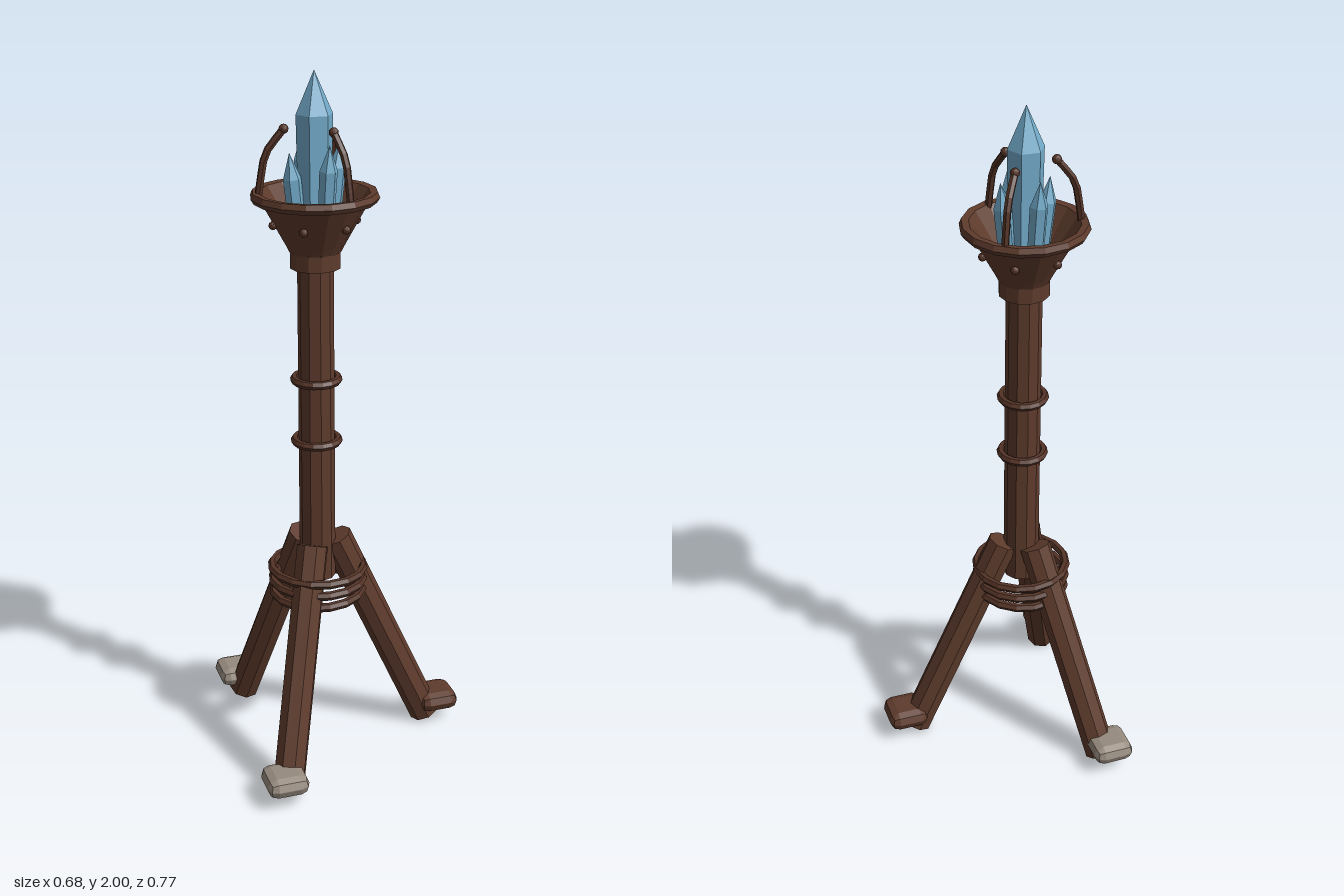
import * as THREE from 'three';
import { RoundedBoxGeometry } from 'three/addons/geometries/RoundedBoxGeometry.js';

const material = (name, color, side = THREE.FrontSide) => {
  const m = new THREE.MeshStandardMaterial({ color, flatShading: true, side });
  m.name = name;
  return m;
};

export function createModel() {
  const wood = material('brown wood', 0x5e3b2c);
  const bowlWood = material('bowl brown', 0x5e3b2c, THREE.DoubleSide);
  const dark = material('dark brown', 0x543326);
  const stone = material('grey stone', 0x968a7e);
  const blue = material('blue crystal', 0x74adcc);

  const model = new THREE.Group();
  const stand = new THREE.Group();
  stand.name = 'crystalStand';
  stand.position.x = -0.094;
  model.add(stand);

  const add = (name, geometry, mat, x = 0, y = 0, z = 0) => {
    const mesh = new THREE.Mesh(geometry, mat);
    mesh.name = name;
    mesh.position.set(x, y, z);
    stand.add(mesh);
    return mesh;
  };
  const polar = (r, y, degrees) => {
    const a = THREE.MathUtils.degToRad(degrees);
    return new THREE.Vector3(r * Math.cos(a), y, r * Math.sin(a));
  };
  // Straight round bar between two points
  const bar = (name, a, b, r, sides, mat) => {
    const d = b.clone().sub(a);
    const mesh = add(name, new THREE.CylinderGeometry(r, r, d.length(), sides), mat);
    mesh.position.copy(a).add(b).multiplyScalar(0.5);
    mesh.quaternion.setFromUnitVectors(new THREE.Vector3(0, 1, 0), d.normalize());
    return mesh;
  };
  const ring = (name, r, tube, y, mat = dark) => {
    const mesh = add(name, new THREE.TorusGeometry(r, tube, 6, 16), mat, 0, y, 0);
    mesh.rotation.x = Math.PI / 2;
    return mesh;
  };

  // Tripod legs and feet
  [0, 120, 240].forEach((angle) => {
    bar('leg', polar(0.338, 0.02, angle), polar(0.055, 0.655, angle), 0.046, 8, wood);
    const foot = add('foot', new RoundedBoxGeometry(0.122, 0.058, 0.124, 1, 0.028),
      angle === 0 ? wood : stone);
    foot.position.copy(polar(0.37, 0.068, angle));
    foot.rotation.y = 0.04;
  });

  // Rope binding round the leg tops
  [[0.134, 0.567], [0.132, 0.53], [0.13, 0.493]].forEach(([r, y], i) => {
    ring('legBinding', r, 0.013, y).rotation.y = (i - 1) * 0.02;
  });

  // Pole, its rings and the collar
  add('pole', new THREE.CylinderGeometry(0.05, 0.052, 0.96, 10), wood, 0, 1.02, 0);
  ring('poleRing', 0.062, 0.012, 0.963);
  ring('poleRing', 0.062, 0.012, 1.146);
  add('collar', new THREE.CylinderGeometry(0.071, 0.071, 0.045, 12), wood, 0, 1.492, 0);

  // Hollow bowl with a wide lip
  const profile = [[0, 1.51], [0.072, 1.515], [0.082, 1.535], [0.146, 1.652], [0.168, 1.652],
    [0.176, 1.665], [0.17, 1.68], [0.15, 1.678], [0.075, 1.57], [0, 1.57]];
  add('bowl', new THREE.LatheGeometry(profile.map(([x, y]) => new THREE.Vector2(x, y)), 16), bowlWood);
  for (let i = 0; i < 6; i++) {
    add('stud', new THREE.IcosahedronGeometry(0.012, 1), dark).position.copy(polar(0.117, 1.592, i * 60));
  }

  // Curved prongs with ball tips
  [67, 187, 307].forEach((angle) => {
    const points = [[0.153, 1.665], [0.143, 1.73], [0.13, 1.785], [0.082, 1.848]]
      .map(([r, y]) => polar(r, y, angle));
    const path = new THREE.CatmullRomCurve3(points);
    add('prong', new THREE.TubeGeometry(path, 6, 0.0105, 6), dark);
    add('prongTip', new THREE.IcosahedronGeometry(0.0135, 1), dark).position.copy(points[3]);
  });

  // Six-sided crystals: a shaft that tapers to a point
  const crystal = (name, r, height, tip) => {
    const shape = [[0, 0], [r * 0.9, 0], [r, height - tip], [0, height]]
      .map(([x, y]) => new THREE.Vector2(x, y));
    return add(name, new THREE.LatheGeometry(shape, 6, Math.PI / 6), blue);
  };
  crystal('mainCrystal', 0.051, 0.44, 0.115).position.y = 1.56;
  [[-16, 1.805], [74, 1.815], [164, 1.79], [258, 1.82]].forEach(([angle, top]) => {
    const base = polar(0.052, 1.56, angle);
    const d = polar(0.078, top, angle).sub(base);
    const small = crystal('smallCrystal', 0.025, d.length(), 0.07);
    small.position.copy(base);
    small.quaternion.setFromUnitVectors(new THREE.Vector3(0, 1, 0), d.normalize());
  });

  return model;
}
